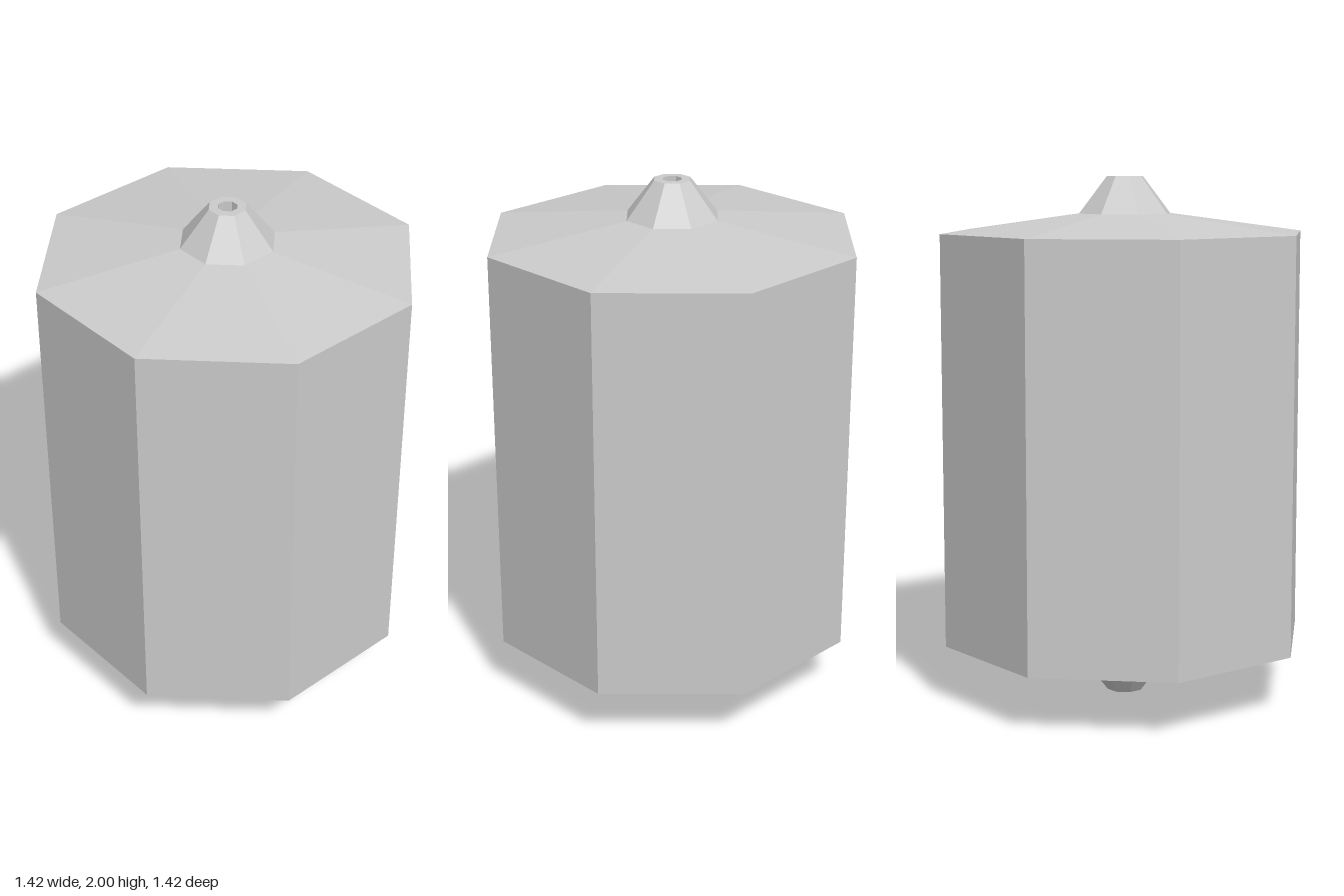
import * as THREE from 'three';

const SIDES = 8;

export function createModel() {
  const group = new THREE.Group();
  const material = new THREE.MeshStandardMaterial({ color: 0xcccccc, flatShading: true });

  // Eight-sided turned part from a profile of [radius, height] pairs
  const addTurned = (name, profile) => {
    const points = profile.map(([r, y]) => new THREE.Vector2(r, y));
    const geometry = new THREE.LatheGeometry(points, SIDES).toNonIndexed();
    geometry.computeVertexNormals();
    const mesh = new THREE.Mesh(geometry, material);
    mesh.name = name;
    group.add(mesh);
  };

  // Drum with shallow conical ends
  addTurned('drum', [[0.18, 0.143], [0.712, 0.217], [0.712, 1.788], [0.18, 1.86]]);

  // Tapered hubs, each ending in a flat ring around the bore
  addTurned('bottomHub', [[0.037, 0], [0.071, 0], [0.18, 0.143]]);
  addTurned('topHub', [[0.18, 1.86], [0.071, 2], [0.037, 2]]);

  // Axle hole through the full height, facing inwards
  addTurned('axleBore', [[0.037, 2], [0.037, 0]]);

  return group;
}
